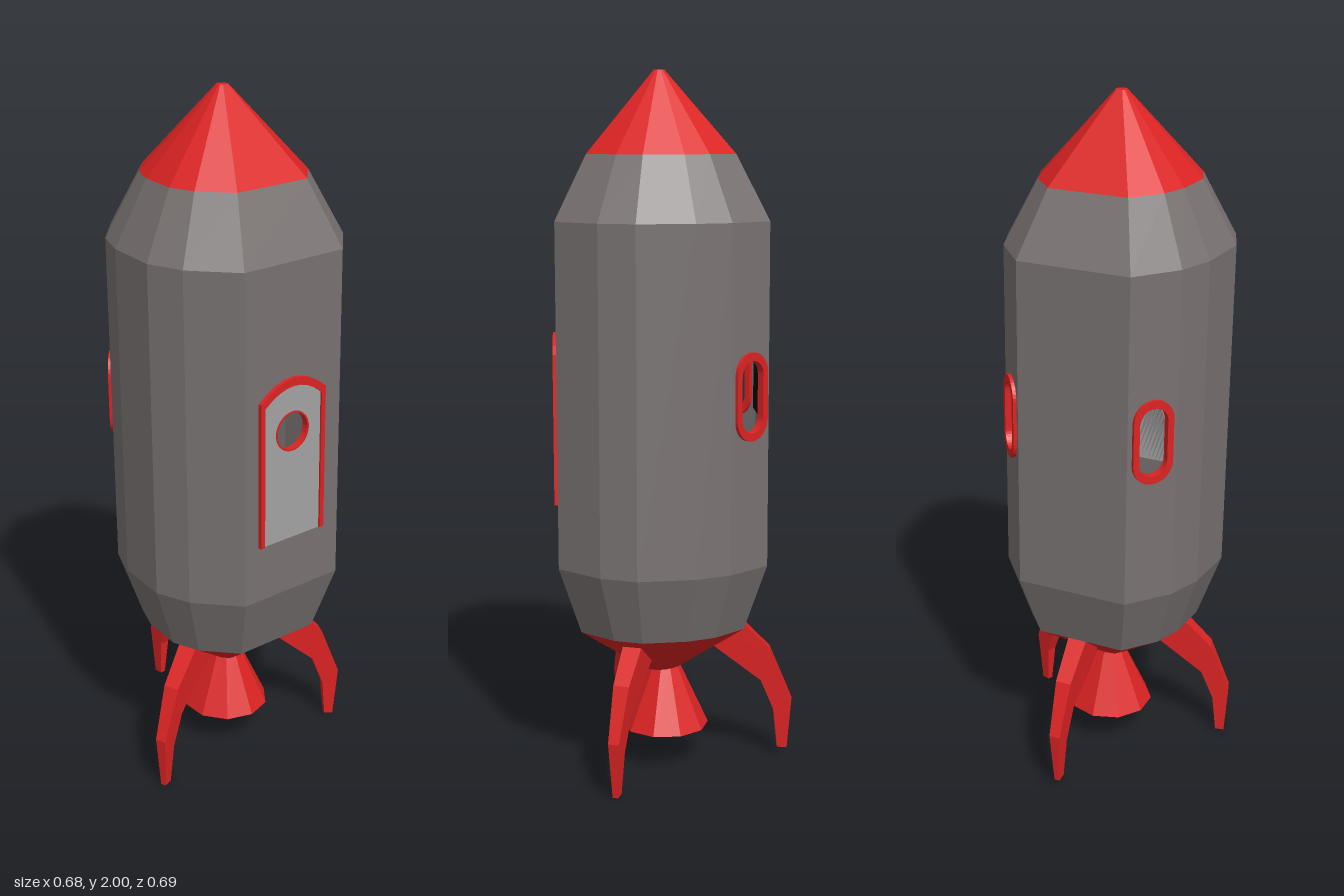
import * as THREE from 'three';

const mat = (name, color) => {
  const m = new THREE.MeshStandardMaterial({ color, flatShading: true, side: THREE.DoubleSide });
  m.name = name;
  return m;
};

// Twelve-sided hull section, counter-clockwise from above
const half = [[0.168, 0.335], [0.275, 0.22], [0.314, 0.12], [0.3, -0.04], [0.262, -0.14], [0.165, -0.252]];
const ring = [...half, ...half.map(([x, z]) => [-x, z]).reverse()];
const N = ring.length, CZ = 0.043;
const lean = (y) => -0.0139 * (y - 0.62); // the hull leans slightly

export function createModel() {
  const red = mat('red paint', 0xdc2323);
  const grey = mat('grey hull', 0x787271);
  const light = mat('light grey door', 0xa3a3a3);
  const black = mat('black interior', 0x080808);

  const rocket = new THREE.Group();
  rocket.name = 'rocket';
  const add = (name, geo, material) => {
    const mesh = new THREE.Mesh(geo, material);
    mesh.name = name;
    rocket.add(mesh);
    return mesh;
  };

  // Band of faces joining two scaled hull sections
  const band = (name, y0, s0, y1, s1, material) => {
    const at = (i, y, s) => {
      const [x, z] = ring[i % N];
      return [x * s + lean(y), y, CZ + (z - CZ) * s];
    };
    const pos = [];
    for (let i = 0; i < N; i++) {
      const a = at(i, y0, s0), b = at(i + 1, y0, s0), c = at(i + 1, y1, s1), d = at(i, y1, s1);
      if (s0 > 0) pos.push(...a, ...b, ...c);
      if (s1 > 0) pos.push(...a, ...c, ...d);
    }
    const geo = new THREE.BufferGeometry();
    geo.setAttribute('position', new THREE.Float32BufferAttribute(pos, 3));
    geo.computeVertexNormals();
    add(name, geo, material);
  };

  // Moves flat geometry (x along the side, y up, z outward) onto hull side i
  const onSide = (geo, i) => {
    const a = ring[i], b = ring[(i + 1) % N];
    const len = Math.hypot(b[0] - a[0], b[1] - a[1]);
    const dx = (b[0] - a[0]) / len, dz = (b[1] - a[1]) / len;
    const p = geo.attributes.position;
    for (let k = 0; k < p.count; k++) {
      const u = p.getX(k), y = p.getY(k), n = p.getZ(k);
      p.setXYZ(k, (a[0] + b[0]) / 2 + dx * u - dz * n + lean(y), y, (a[1] + b[1]) / 2 + dz * u + dx * n);
    }
    geo.computeVertexNormals();
    return geo;
  };
  const extrude = (shape, depth, z) =>
    new THREE.ExtrudeGeometry(shape, { depth, bevelEnabled: false, curveSegments: 8 }).translate(0, 0, z);

  // Upright rounded slot; a circle when r equals h
  const slot = (C, x, y, r, h) => {
    const s = new C();
    s.absarc(x, y + h - r, r, 0, Math.PI, false);
    s.absarc(x, y - h + r, r, Math.PI, Math.PI * 2, false);
    s.closePath();
    return s;
  };

  // Hull and nose
  band('lowerHull', 0.43, 0.79, 0.625, 1, grey);
  band('upperHull', 1.59, 1, 1.77, 0.7, grey);
  band('noseCone', 1.77, 0.7, 2, 0.05, red);
  band('noseTip', 2, 0.05, 2, 0, red);
  band('tailCone', 0.285, 0.16, 0.43, 0.79, red);
  band('tailCap', 0.285, 0, 0.285, 0.16, red);

  // Straight hull sides, pierced for the porthole and side windows
  const windowSides = [4, 6], doorSide = 11, doorX = -0.007, portY = 1.115, winY = 1.115;
  for (let i = 0; i < N; i++) {
    const a = ring[i], b = ring[(i + 1) % N];
    const w = Math.hypot(b[0] - a[0], b[1] - a[1]) / 2;
    const shape = new THREE.Shape([[-w, 0.625], [w, 0.625], [w, 1.59], [-w, 1.59]].map((q) => new THREE.Vector2(...q)));
    if (windowSides.includes(i)) shape.holes.push(slot(THREE.Path, 0, winY, 0.042, 0.1));
    if (i === doorSide) shape.holes.push(slot(THREE.Path, doorX, portY, 0.054, 0.054));
    add('hullSide', onSide(new THREE.ShapeGeometry(shape, 8), i), grey);
  }

  // Side window frames
  for (const i of windowSides) {
    const s = slot(THREE.Shape, 0, winY, 0.06, 0.123);
    s.holes.push(slot(THREE.Path, 0, winY, 0.042, 0.1));
    add('windowFrame', onSide(extrude(s, 0.022, -0.012), i), red);
  }

  // Arched door with porthole
  const door = new THREE.Shape();
  door.moveTo(doorX - 0.1, 0.793).lineTo(doorX + 0.1, 0.793).lineTo(doorX + 0.1, 1.205);
  door.quadraticCurveTo(doorX, 1.29, doorX - 0.1, 1.205).closePath();
  door.holes.push(slot(THREE.Path, doorX, portY, 0.054, 0.054));
  add('door', onSide(extrude(door, 0.005, 0), doorSide), light);

  const frame = new THREE.Shape();
  frame.moveTo(doorX + 0.1, 0.793).lineTo(doorX + 0.114, 0.793).lineTo(doorX + 0.114, 1.22);
  frame.quadraticCurveTo(doorX, 1.322, doorX - 0.114, 1.22);
  frame.lineTo(doorX - 0.114, 0.793).lineTo(doorX - 0.1, 0.793).lineTo(doorX - 0.1, 1.205);
  frame.quadraticCurveTo(doorX, 1.29, doorX + 0.1, 1.205).closePath();
  add('doorFrame', onSide(extrude(frame, 0.011, 0), doorSide), red);

  const rim = slot(THREE.Shape, doorX, portY, 0.058, 0.058);
  rim.holes.push(slot(THREE.Path, doorX, portY, 0.053, 0.053));
  add('portholeRim', onSide(extrude(rim, 0.02, -0.013), doorSide), red);

  // Dark panel on the inner back wall
  add('innerPanel', new THREE.BoxGeometry(0.16, 0.16, 0.008), black).position.set(-0.013, portY, -0.24);

  // Open engine nozzle
  add('nozzle', new THREE.CylinderGeometry(0.045, 0.128, 0.18, 10, 1, true), red).position.set(0.008, 0.198, 0.03);

  // Curved fins, thinner towards the foot
  const profile = [[0.08, 0.385], [0.295, 0.215], [0.335, 0.12], [0.347, 0.003], [0.376, 0], [0.388, 0.16], [0.325, 0.31], [0.225, 0.41]];
  const fin = (name, angle, scale, x, y) => {
    const geo = extrude(new THREE.Shape(profile.map((q) => new THREE.Vector2(...q))), 1, -0.5);
    const p = geo.attributes.position;
    for (let k = 0; k < p.count; k++) p.setZ(k, p.getZ(k) * (0.016 + 0.1 * p.getY(k)));
    geo.computeVertexNormals();
    const mesh = add(name, geo, red);
    mesh.rotation.y = angle;
    mesh.scale.x = scale;
    mesh.position.set(x, y, CZ);
  };
  fin('backFin', Math.PI / 2, 1, 0.015, 0.025);
  fin('leftFin', -0.42, 0.92, 0, 0.005);
  fin('rightFin', Math.PI + 0.33, 0.92, 0, 0);

  return rocket;
}
